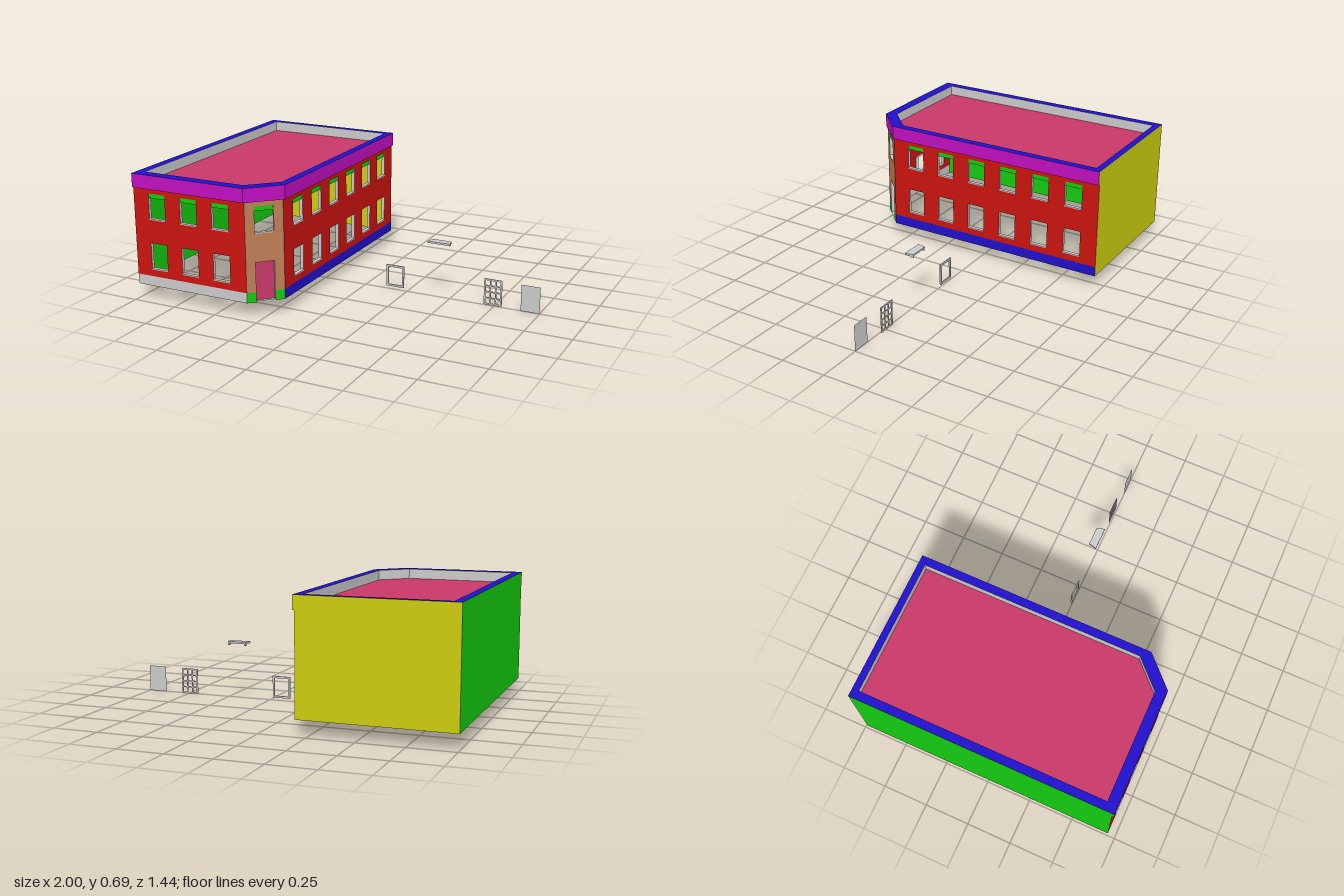
import * as THREE from 'three';
import { mergeGeometries } from 'three/addons/utils/BufferGeometryUtils.js';

const mat = (color) => new THREE.MeshStandardMaterial({ color, side: THREE.DoubleSide });
const M = {
  grey: mat(0xcccccc), red: mat(0xcc1410), blue: mat(0x2010cc), purple: mat(0xc010c0),
  green: mat(0x14cc10), yellow: mat(0xcccc10), rose: mat(0xc83868), tan: mat(0xc08058),
};

// Key heights
const BASE = 0.08, PLINTH = 0.135, EAVE = 0.615, ROOF = 0.635, TOP = 0.69;
const REVEAL = 0.018;

// Plan outlines as [x, z]
const wallPlan = [[-1, 0.71], [-0.325, 0.71], [-0.183, 0.568], [-0.183, -0.722], [-1, -0.722]];
const rimPlan = [[-1, 0.72], [-0.325, 0.72], [-0.172, 0.567], [-0.172, -0.722], [-1, -0.722]];
const roofPlan = [[-0.955, 0.663], [-0.355, 0.663], [-0.215, 0.523], [-0.215, -0.686], [-0.955, -0.686]];

function add(parent, name, geometry, material) {
  const mesh = new THREE.Mesh(geometry, material);
  mesh.name = name;
  parent.add(mesh);
  return mesh;
}

const rectPoints = ([x0, y0, x1, y1]) =>
  [[x0, y0], [x1, y0], [x1, y1], [x0, y1]].map(([x, y]) => new THREE.Vector2(x, y));

// Flat upright sheet with rectangular openings
function sheet(rect, holes = []) {
  const shape = new THREE.Shape(rectPoints(rect));
  holes.forEach((h) => shape.holes.push(new THREE.Path(rectPoints(h).reverse())));
  return new THREE.ShapeGeometry(shape);
}

function box(x0, y0, z0, x1, y1, z1) {
  return new THREE.BoxGeometry(x1 - x0, y1 - y0, z1 - z0)
    .translate((x0 + x1) / 2, (y0 + y1) / 2, (z0 + z1) / 2);
}

// Horizontal sheet from a plan outline
function flat(plan, y, hole) {
  const points = (p) => p.map(([x, z]) => new THREE.Vector2(x, -z));
  const shape = new THREE.Shape(points(plan));
  if (hole) shape.holes.push(new THREE.Path(points(hole)));
  return new THREE.ShapeGeometry(shape).rotateX(-Math.PI / 2).translate(0, y, 0);
}

// Group whose local x runs along a plan edge and whose local z points outward
function edgeGroup(parent, name, a, b) {
  const group = new THREE.Group();
  group.name = name;
  group.position.set(a[0], 0, a[1]);
  group.rotation.y = Math.atan2(a[1] - b[1], b[0] - a[0]);
  group.userData.length = Math.hypot(b[0] - a[0], b[1] - a[1]);
  parent.add(group);
  return group;
}

// Four sides lining an opening
function reveal([x0, y0, x1, y1]) {
  const w = x1 - x0, h = y1 - y0, cx = (x0 + x1) / 2, cy = (y0 + y1) / 2, z = -REVEAL / 2;
  const parts = [
    new THREE.PlaneGeometry(w, REVEAL).rotateX(-Math.PI / 2).translate(cx, y0, z),
    new THREE.PlaneGeometry(w, REVEAL).rotateX(Math.PI / 2).translate(cx, y1, z),
    new THREE.PlaneGeometry(REVEAL, h).rotateY(Math.PI / 2).translate(x0, cy, z),
    new THREE.PlaneGeometry(REVEAL, h).rotateY(-Math.PI / 2).translate(x1, cy, z),
  ];
  return mergeGeometries(parts);
}

// Window opening trim: lining, sill and optional lintel
function windowTrim(group, rect, lintel) {
  const [x0, y0, x1, y1] = rect;
  add(group, 'windowReveal', reveal(rect), M.grey);
  add(group, 'windowSill', box(x0, y0 - 0.002, -REVEAL, x1, y0 + 0.004, 0.003), M.grey);
  if (lintel) add(group, 'windowLintel', box(x0, y1 - 0.025, -REVEAL, x1, y1, -0.004), M.green);
}

// Two-storey wall with a row of windows at the given centres
function windowWall(parent, name, a, b, centres, plinthMaterial) {
  const g = edgeGroup(parent, name, a, b);
  const upper = centres.map((c) => [c - 0.05, 0.45, c + 0.05, 0.59]);
  const lower = centres.map((c) => [c - 0.05, 0.175, c + 0.05, 0.32]);
  add(g, 'wallFace', sheet([0, PLINTH, g.userData.length, EAVE], [...upper, ...lower]), M.red);
  add(g, 'plinth', sheet([0, BASE, g.userData.length, PLINTH]), plinthMaterial);
  upper.forEach((r) => windowTrim(g, r, true));
  lower.forEach((r) => windowTrim(g, r, false));
}

// Chamfered corner with the entrance door and one window
function entranceCorner(parent, a, b) {
  const g = edgeGroup(parent, 'entranceCorner', a, b);
  const L = g.userData.length, x0 = L / 2 - 0.05, x1 = L / 2 + 0.05;
  const door = [x0, BASE + 0.005, x1, 0.295], win = [x0, 0.45, x1, 0.59];
  add(g, 'cornerFace', sheet([0, PLINTH, L, EAVE], [win, [x0, PLINTH + 0.0001, x1, 0.295]]), M.tan);
  add(g, 'plinthLeft', sheet([0, BASE, x0, PLINTH]), M.green);
  add(g, 'plinthRight', sheet([x1, BASE, L, PLINTH]), M.green);
  add(g, 'doorReveal', reveal(door), M.grey);
  add(g, 'door', sheet(door).translate(0, 0, -REVEAL), M.rose);
  windowTrim(g, win, true);
}

// Loose rectangular frame with optional glazing bars
function frame(parent, name, [x0, y0, x1, y1], z, bar, depth, cols = 1, rows = 1, thin = bar) {
  const parts = [];
  for (let i = 0; i <= cols; i++) {
    const t = i === 0 || i === cols ? bar : thin;
    const x = x0 + bar / 2 + ((x1 - x0 - bar) * i) / cols;
    parts.push(box(x - t / 2, y0, z - depth / 2, x + t / 2, y1, z + depth / 2));
  }
  for (let j = 0; j <= rows; j++) {
    const t = j === 0 || j === rows ? bar : thin;
    const y = y0 + bar / 2 + ((y1 - y0 - bar) * j) / rows;
    parts.push(box(x0, y - t / 2, z - depth / 2, x1, y + t / 2, z + depth / 2));
  }
  add(parent, name, mergeGeometries(parts), M.grey);
}

// Loose window hood: tapered slab with small end brackets
function windowHood(parent) {
  const g = new THREE.Group();
  g.name = 'windowHood';
  parent.add(g);
  const plan = [[0.38, 0.032], [0.508, 0.032], [0.497, -0.013], [0.391, -0.013]];
  add(g, 'hoodTop', flat(plan, 0.317), M.grey);
  add(g, 'hoodUnderside', flat(plan, 0.307), M.red);
  plan.forEach((p, i) => {
    const e = edgeGroup(g, 'hoodSide', p, plan[(i + 1) % 4]);
    add(e, 'hoodEdge', sheet([0, 0.307, e.userData.length, 0.317]), M.grey);
  });
  for (const x of [0.391, 0.489]) add(g, 'hoodBracket', box(x, 0.297, -0.012, x + 0.008, 0.307, 0.008), M.grey);
}

export function createModel() {
  const model = new THREE.Group();
  const building = new THREE.Group();
  building.name = 'building';
  model.add(building);

  // Street walls
  windowWall(building, 'frontWall', wallPlan[0], wallPlan[1], [0.143, 0.337, 0.529], M.grey);
  entranceCorner(building, wallPlan[1], wallPlan[2]);
  windowWall(building, 'rightWall', wallPlan[2], wallPlan[3],
    [0, 1, 2, 3, 4, 5].map((i) => 0.148 + i * 0.199), M.blue);

  // Plain party walls
  const back = edgeGroup(building, 'backWall', wallPlan[3], wallPlan[4]);
  add(back, 'backFace', sheet([0, BASE, back.userData.length, EAVE]), M.yellow);
  add(back, 'backParapet', sheet([-0.011, EAVE, back.userData.length, TOP]), M.yellow);
  const left = edgeGroup(building, 'leftWall', wallPlan[4], wallPlan[0]);
  add(left, 'leftFace', sheet([0, BASE, left.userData.length, EAVE]), M.green);
  add(left, 'leftParapet', sheet([0, EAVE, left.userData.length + 0.01, TOP]), M.green);

  // Cornice on the three street sides, with its narrow soffit
  for (let i = 0; i < 3; i++) {
    const e = edgeGroup(building, 'cornice', rimPlan[i], rimPlan[i + 1]);
    add(e, 'corniceFace', sheet([0, EAVE, e.userData.length, TOP]), M.purple);
    add(building, 'corniceSoffit',
      flat([rimPlan[i], rimPlan[i + 1], wallPlan[i + 1], wallPlan[i]], EAVE), M.purple);
  }

  // Parapet coping, inner faces and sunken roof
  add(building, 'coping', flat(rimPlan, TOP, roofPlan), M.blue);
  roofPlan.forEach((p, i) => {
    const e = edgeGroup(building, 'parapetInner', p, roofPlan[(i + 1) % 5]);
    add(e, 'parapetInnerFace', sheet([0, ROOF, e.userData.length, TOP]), M.grey);
  });
  add(building, 'roof', flat(roofPlan, ROOF), M.rose);

  // Loose window parts beside the building
  frame(model, 'windowFrame', [0.127, 0.015, 0.23, 0.137], -0.003, 0.011, 0.007);
  windowHood(model);
  frame(model, 'glazingBars', [0.69, 0, 0.79, 0.145], -0.008, 0.009, 0.004, 3, 4, 0.007);
  add(model, 'windowPane', sheet([0.897, 0, 1, 0.145]), M.grey);

  return model;
}
